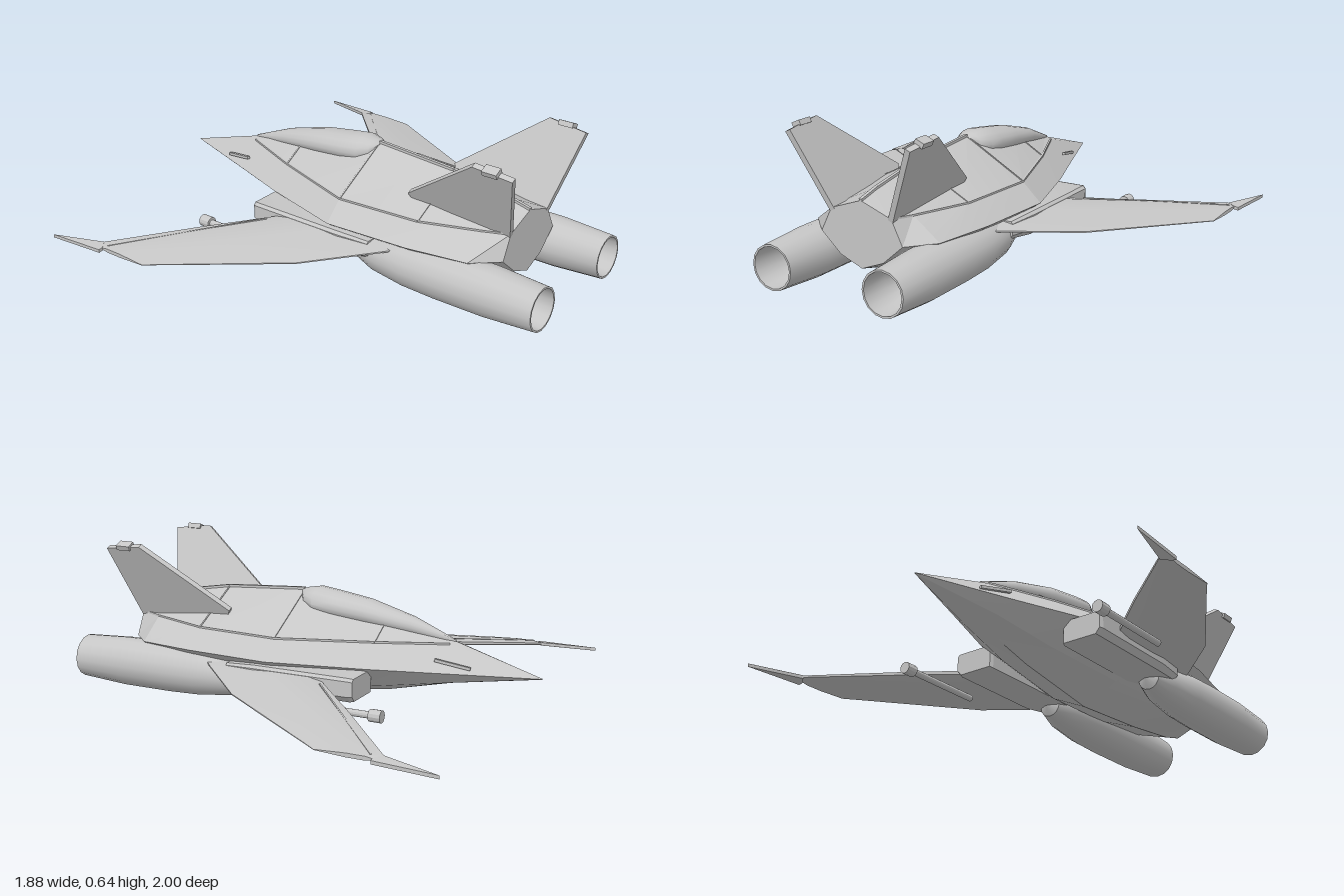
import * as THREE from 'three';
import { toCreasedNormals } from 'three/addons/utils/BufferGeometryUtils.js';

const V = (x, y, z) => new THREE.Vector3(x, y, z);

// Unindex, make faces point outward (positive volume), then crease the normals
function finish(geo, crease) {
  const g = geo.index ? geo.toNonIndexed() : geo;
  const p = g.attributes.position;
  const a = V(), b = V(), c = V();
  let volume = 0;
  for (let i = 0; i < p.count; i += 3) {
    a.fromBufferAttribute(p, i);
    b.fromBufferAttribute(p, i + 1);
    c.fromBufferAttribute(p, i + 2);
    volume += a.dot(b.cross(c));
  }
  if (volume < 0) {
    for (let i = 0; i < p.count; i += 3) {
      b.fromBufferAttribute(p, i + 1);
      c.fromBufferAttribute(p, i + 2);
      p.setXYZ(i + 1, c.x, c.y, c.z);
      p.setXYZ(i + 2, b.x, b.y, b.z);
    }
  }
  g.deleteAttribute('normal');
  return toCreasedNormals(g, crease);
}

// Closed skin through rings of equal point count, capped at both ends
function loft(rings) {
  const n = rings[0].length, last = (rings.length - 1) * n, index = [];
  for (let i = 0; i < rings.length - 1; i++) {
    for (let j = 0; j < n; j++) {
      const a = i * n + j, b = i * n + (j + 1) % n;
      index.push(a, b, b + n, a, b + n, a + n);
    }
  }
  for (let k = 1; k < n - 1; k++) index.push(0, k + 1, k, last, last + k, last + k + 1);
  const g = new THREE.BufferGeometry().setFromPoints(rings.flat());
  g.setIndex(index);
  return g;
}

// Flat plate from an outline, thickened both ways along an offset
const plate = (pts, off) => loft([-1, 1].map(s => pts.map(p => p.clone().addScaledVector(off, s))));

// Thin square bar between two points
function bar(p, q, w) {
  const d = q.clone().sub(p);
  const m = new THREE.Matrix4().lookAt(q, p, V(0, 1, 0)).setPosition(p.clone().add(q).multiplyScalar(0.5));
  return new THREE.BoxGeometry(w, w, d.length()).applyMatrix4(m);
}

function rod(r, z0, z1, x, y) {
  return new THREE.CylinderGeometry(r, r, z1 - z0, 12).rotateX(Math.PI / 2).translate(x, y, (z0 + z1) / 2);
}

export function createModel() {
  const model = new THREE.Group();
  const grey = new THREE.MeshStandardMaterial({ color: 0xc6c6c6 });

  const add = (name, geo, crease = 0.5) => {
    const mesh = new THREE.Mesh(finish(geo, crease), grey);
    mesh.name = name;
    model.add(mesh);
  };
  const pair = (name, geo, crease) => {
    add('left' + name, geo.clone(), crease);
    add('right' + name, geo.clone().scale(-1, 1, 1), crease);
  };

  // Fuselage: z, ridge y, shoulder x y, chine x y, lower x y, keel y
  const hull = [
    [-0.998, 0.197, 0.001, 0.196, 0.002, 0.195, 0.001, 0.194, 0.193],
    [-0.62, 0.31, 0.03, 0.3, 0.137, 0.203, 0.08, 0.15, 0.13],
    [-0.34, 0.385, 0.145, 0.3, 0.24, 0.21, 0.12, 0.11, 0.065],
    [0.05, 0.455, 0.275, 0.3, 0.36, 0.22, 0.16, 0.085, 0.01],
    [0.42, 0.43, 0.25, 0.3, 0.34, 0.22, 0.17, 0.1, 0.035],
    [0.68, 0.385, 0.17, 0.305, 0.29, 0.215, 0.15, 0.11, 0.065],
    [0.78, 0.36, 0.14, 0.31, 0.19, 0.21, 0.1, 0.13, 0.09],
  ];
  add('fuselage', loft(hull.map(([z, yt, xs, ys, xc, yc, xl, yl, yb]) => [
    V(0, yt, z), V(xs, ys, z), V(xc, yc, z), V(xl, yl, z),
    V(0, yb, z), V(-xl, yl, z), V(-xc, yc, z), V(-xs, ys, z),
  ])), 0.2);

  // Raised seams: along the shoulder, across the back and down the spine
  for (let i = 1; i < hull.length - 1; i++) {
    const [z, yt, xs, ys] = hull[i], [z2, yt2, xs2, ys2] = hull[i + 1];
    pair('ShoulderSeam', bar(V(xs, ys, z), V(xs2, ys2, z2), 0.008));
    if (i >= 3) add('spine', bar(V(0, yt, z), V(0, yt2, z2), 0.014));
    if (i >= 2 && i <= 4) pair('CrossSeam', bar(V(0, yt, z), V(xs, ys, z), 0.006));
  }
  pair('NoseSlit', bar(V(0.085, 0.222, -0.73), V(0.117, 0.25, -0.59), 0.012));

  // Canopy: z, half width, top y, base y
  const canopy = [
    [-0.635, 0.004, 0.312, 0.305], [-0.45, 0.045, 0.387, 0.35], [-0.25, 0.08, 0.44, 0.385],
    [-0.1, 0.09, 0.462, 0.402], [-0.02, 0.086, 0.473, 0.41], [0.03, 0.06, 0.464, 0.42],
    [0.055, 0.02, 0.455, 0.44],
  ];
  add('canopy', loft(canopy.map(([z, w, yt, yb]) => Array.from({ length: 16 }, (_, k) => {
    const a = k * Math.PI / 8;
    return V(w * Math.sin(a), yb + (yt - yb) * Math.cos(a), z);
  }))), 0.7);

  // Engines with hollow nozzles at the rear
  const profile = [
    [0, 0.12], [0.05, 0.15], [0.08, 0.24], [0.1, 0.4], [0.105, 0.55], [0.105, 0.78],
    [0.092, 1], [0.084, 1], [0.08, 0.88], [0.055, 0.78], [0, 0.75],
  ].map(([r, z]) => new THREE.Vector2(r, z));
  pair('Engine', new THREE.LatheGeometry(profile, 16).rotateX(Math.PI / 2).translate(0.257, 0.11, 0), 0.7);

  // Chamfered intake boxes ahead of the engines
  const intakeRing = (z, s) => [
    [0.18, 0.2], [0.355, 0.2], [0.366, 0.188], [0.366, 0.125], [0.345, 0.1], [0.18, 0.1],
  ].map(([x, y]) => V(0.27 + (x - 0.27) * s, 0.15 + (y - 0.15) * s, z));
  pair('Intake', loft([intakeRing(-0.345, 0.93), intakeRing(-0.33, 1), intakeRing(0.1, 1), intakeRing(0.24, 0.75)]), 0.3);

  // Swept wings: x, leading z, trailing z, mid y, half thickness
  const wing = [
    [0.25, -0.11, 0.41, 0.178, 0.02],
    [0.36, -0.21, 0.305, 0.168, 0.02],
    [0.58, -0.435, 0.07, 0.14, 0.017],
    [0.875, -0.72, -0.41, 0.103, 0.01],
    [0.907, -0.69, -0.46, 0.099, 0.008],
  ];
  pair('Wing', loft(wing.map(([x, z0, z1, y, t]) => {
    const at = (f, h) => V(x, y + h * t, z0 + (z1 - z0) * f);
    return [at(0, -0.4), at(0, 0.4), at(0.12, 1), at(0.45, 1), at(1, 0.15), at(1, -0.15), at(0.45, -1), at(0.12, -1)];
  })), 0.6);
  pair('WingSeam', bar(V(0.41, 0.178, -0.23), V(0.89, 0.11, -0.675), 0.006));

  // Forward-pointing wingtip spikes
  pair('WingtipSpike', plate([
    V(0.94, 0.09, -0.95), V(0.925, 0.095, -0.69), V(0.905, 0.098, -0.69), V(0.873, 0.102, -0.715), V(0.882, 0.101, -0.74),
  ], V(0, 0.007, 0)));

  // Wing guns with thicker muzzles
  pair('GunBarrel', rod(0.014, -0.5, -0.12, 0.48, 0.108));
  pair('GunMuzzle', rod(0.025, -0.53, -0.48, 0.48, 0.108));

  // Canted tail fins with tip boxes
  const fin = [[0.37, 0.32], [0.63, 0.69], [0.61, 0.86], [0.3, 0.78], [0.33, 0.34]];
  pair('TailFin', plate(fin.map(([y, z]) => V(0.14 + (y - 0.31) * 0.45, y, z)), V(0.011, -0.005, 0)));
  pair('FinTip', new THREE.BoxGeometry(0.04, 0.022, 0.065).rotateZ(-0.42).translate(0.282, 0.622, 0.768));

  return model;
}
